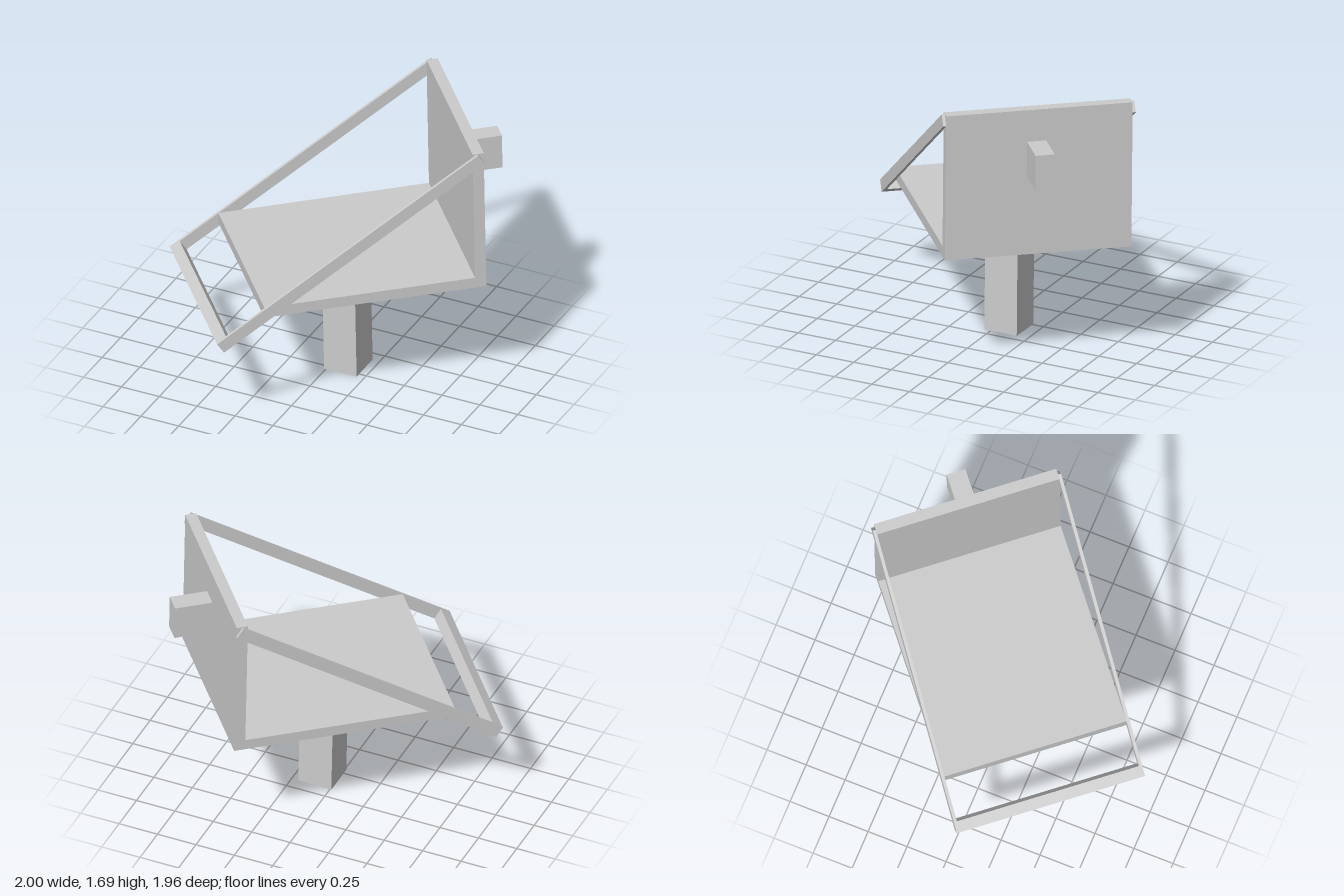
import * as THREE from 'three';

export function createModel() {
  const model = new THREE.Group();
  const material = new THREE.MeshStandardMaterial({ color: 0xcccccc, flatShading: true });

  // Box given by its minimum and maximum corners
  function box(name, parent, min, max) {
    const size = max.map((v, i) => v - min[i]);
    const mesh = new THREE.Mesh(new THREE.BoxGeometry(...size), material);
    mesh.position.set(...max.map((v, i) => (v + min[i]) / 2));
    mesh.name = name;
    parent.add(mesh);
    return mesh;
  }

  // Whole assembly leans very slightly to the side
  const body = new THREE.Group();
  body.name = 'body';
  body.rotation.z = 0.019;
  model.add(body);

  // Square post
  box('post', body, [-0.01, 0, -0.178], [0.205, 0.75, 0.038]);

  // Tray turned on top of the post
  const tray = new THREE.Group();
  tray.name = 'tray';
  tray.rotation.y = THREE.MathUtils.degToRad(40);
  body.add(tray);

  const half = 0.567;
  box('platform', tray, [-0.518, 0.748, -half], [0.838, 0.816, half]);
  box('backWall', tray, [0.77, 0.816, -half], [0.838, 1.668, half]);
  box('wallBlock', tray, [0.838, 1.247, -0.043], [1.068, 1.467, 0.074]);

  // Sloping frame: its origin is the upper outer corner of the low end
  const frame = new THREE.Group();
  frame.name = 'slopingFrame';
  frame.position.set(-0.815, 0.621, 0);
  frame.rotation.z = THREE.MathUtils.degToRad(32.95);
  tray.add(frame);

  const depth = 0.075, thickness = 0.019;
  box('leftArm', frame, [0, -depth, half], [1.925, 0, half + thickness]);
  box('rightArm', frame, [0, -depth, -half - thickness], [1.925, 0, -half]);
  box('crossBar', frame, [0, -depth, -half], [0.07, 0, half]);

  return model;
}
